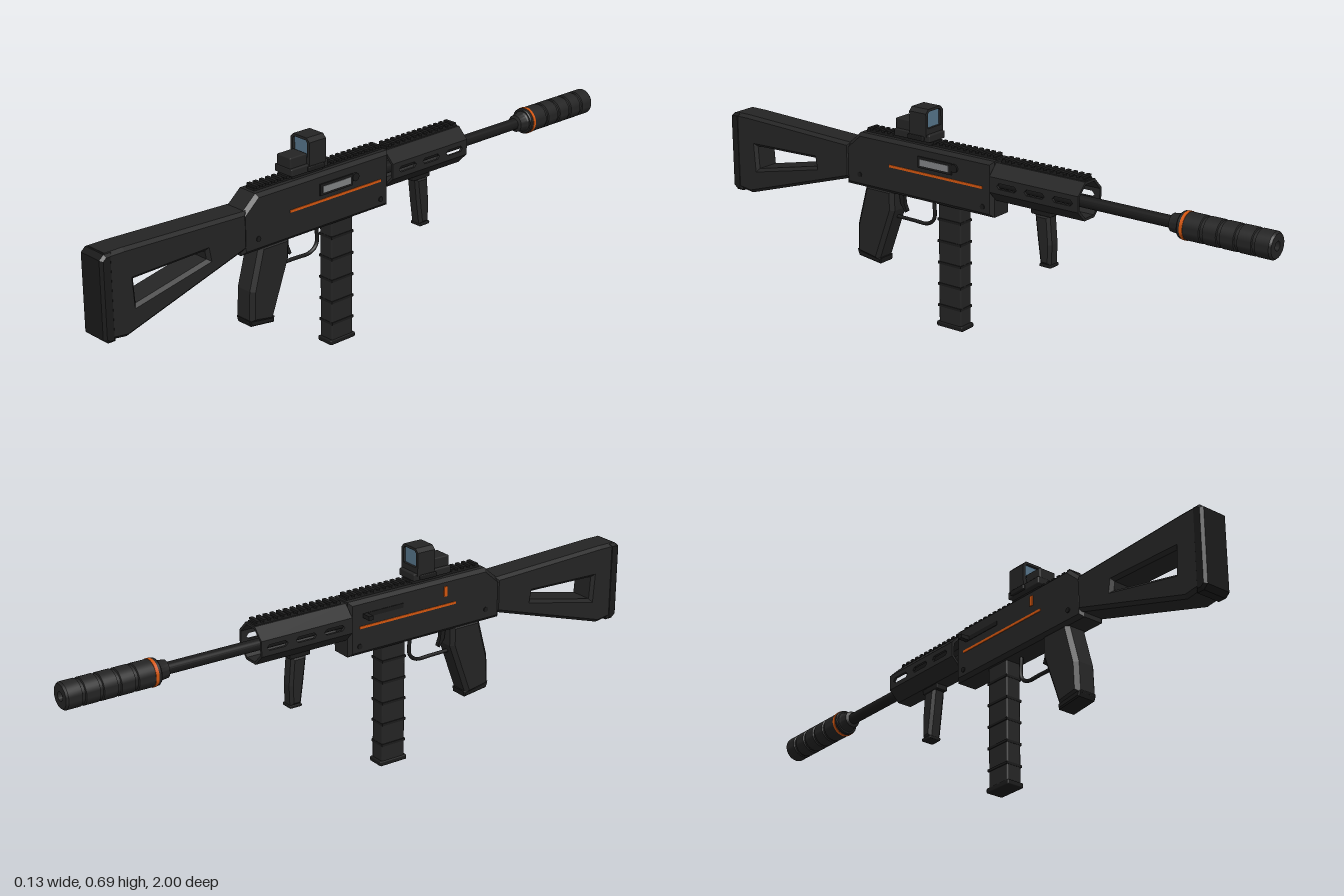
import * as THREE from 'three';
import { toCreasedNormals } from 'three/addons/utils/BufferGeometryUtils.js';
import { RoundedBoxGeometry } from 'three/addons/geometries/RoundedBoxGeometry.js';

export function createModel() {
  const model = new THREE.Group();
  model.name = 'rifle';
  const body = new THREE.Group();
  body.name = 'rifleBody';
  body.position.x = 0.007;
  model.add(body);

  const material = (name, color) => {
    const m = new THREE.MeshStandardMaterial({ color });
    m.name = name;
    return m;
  };
  const black = material('matte black', 0x242424);
  const dark = material('dark rubber', 0x1a1a1a);
  const steel = material('bolt steel', 0x808284);
  const orange = material('orange accent', 0xd4560f);
  const glass = material('blue lens', 0x56748a);

  const add = (name, geometry, mat, x = 0, y = 0, z = 0) => {
    const mesh = new THREE.Mesh(geometry, mat);
    mesh.name = name;
    mesh.position.set(x, y, z);
    body.add(mesh);
    return mesh;
  };
  const box = (name, mat, w, h, d, x, y, z, r = 0) =>
    add(name, r ? new RoundedBoxGeometry(w, h, d, 1, r) : new THREE.BoxGeometry(w, h, d), mat, x, y, z);

  const path = (points, Type = THREE.Shape) => new Type(points.map(([a, b]) => new THREE.Vector2(a, b)));

  // Side profile given as [z, y], extruded across x with bevelled edges
  const slab = (points, width, bevel, holes = []) => {
    const shape = path(points);
    shape.holes = holes.map((h) => path(h, THREE.Path));
    const g = new THREE.ExtrudeGeometry(shape, {
      depth: width - 2 * bevel, bevelEnabled: bevel > 0, bevelThickness: bevel,
      bevelSize: bevel, bevelOffset: -bevel, bevelSegments: 1,
    });
    g.translate(0, 0, bevel - width / 2);
    return g.rotateY(-Math.PI / 2);
  };
  // Turned part along -z, profile given as [radius, distance forward]
  const turned = (points, sides = 32) => {
    const g = new THREE.LatheGeometry(points.map(([r, d]) => new THREE.Vector2(r, d)), sides);
    return toCreasedNormals(g.rotateX(-Math.PI / 2), 0.5);
  };

  // Stock with a cut-out and a butt pad
  add('stock', slab(
    [[0.98, 0.295], [0.98, 0.55], [0.92, 0.55], [0.49, 0.535], [0.49, 0.42], [0.92, 0.287]], 0.094, 0.01,
    [[[0.885, 0.375], [0.89, 0.45], [0.64, 0.457], [0.635, 0.43]]]), black);
  add('buttPad', slab(
    [[1, 0.3], [1, 0.535], [0.985, 0.548], [0.96, 0.548], [0.96, 0.287], [0.985, 0.287]], 0.097, 0.008), dark);

  // Receiver
  add('receiver', slab(
    [[0.507, 0.4], [0.507, 0.525], [0.45, 0.575], [-0.067, 0.575], [-0.067, 0.4]], 0.088, 0.011), black);
  for (const side of [-1, 1]) {
    box('accentStripe', orange, 0.003, 0.008, 0.36, side * 0.0445, 0.49, 0.15);
    for (const [z, y] of [[0.45, 0.44], [-0.03, 0.43]]) {
      const pin = add('receiverPin', new THREE.CylinderGeometry(0.008, 0.008, 0.006, 16), dark, side * 0.044, y, z);
      pin.rotation.z = Math.PI / 2;
    }
  }
  box('ejectionFrame', dark, 0.008, 0.036, 0.13, 0.044, 0.525, 0.15);
  box('ejectionPort', steel, 0.004, 0.02, 0.11, 0.0475, 0.525, 0.15);
  const assist = add('boltAssist', new THREE.CylinderGeometry(0.013, 0.013, 0.012, 20), dark, 0.044, 0.53, 0.075);
  assist.rotation.z = Math.PI / 2;
  box('selectorMark', orange, 0.005, 0.032, 0.012, -0.0445, 0.535, 0.29);
  box('chargingSlot', dark, 0.004, 0.014, 0.14, -0.044, 0.526, 0.06);
  box('chargingHandle', dark, 0.032, 0.013, 0.016, -0.059, 0.526, -0.01);

  // Toothed rails
  const rail = (name, from, to, y) => {
    box(name, dark, 0.036, 0.01, from - to, 0, y, (from + to) / 2);
    const count = Math.floor((from - to) / 0.022);
    for (let i = 0; i < count; i++) {
      box(name + 'Tooth', dark, 0.042, 0.008, 0.012, 0, y + 0.008, from - (i + 0.5) * (from - to) / count);
    }
  };
  rail('receiverRail', 0.44, -0.06, 0.577);
  rail('handguardRail', -0.08, -0.38, 0.571);

  // Hollow octagonal handguard, slotted at the sides
  const apothem = 0.059;
  const half = apothem * Math.tan(Math.PI / 8);
  const slots = [-0.33, -0.23, -0.13].map((z) => [
    [z - 0.036, 0], [z - 0.028, 0.009], [z + 0.028, 0.009], [z + 0.036, 0], [z + 0.028, -0.009], [z - 0.028, -0.009]]);
  for (let k = 0; k < 8; k++) {
    const g = slab([[-0.067, -half], [-0.067, half], [-0.385, half], [-0.385, -half]], 0.008, 0, k % 4 === 0 ? slots : []);
    g.translate(apothem - 0.004, 0, 0);
    add('handguardPanel', g, black, 0, 0.511, 0).rotation.z = k * Math.PI / 4;
  }

  // Barrel and suppressor
  add('barrel', turned([[0, 0], [0.018, 0], [0.018, 0.62], [0, 0.62]], 24), dark, 0, 0.502, -0.06);
  add('barrelCollar', turned([[0.018, 0], [0.027, 0.004], [0.03, 0.03], [0.04, 0.045]]), black, 0, 0.502, -0.665);
  const profile = [[0.018, 0], [0.038, 0], [0.041, 0.004]];
  for (let i = 1; i < 5; i++) {
    const d = 0.025 + i * 0.055;
    profile.push([0.041, d - 0.006], [0.037, d - 0.004], [0.037, d + 0.004], [0.041, d + 0.006]);
  }
  profile.push([0.041, 0.294], [0.036, 0.3], [0.014, 0.3], [0.014, 0.26], [0, 0.26]);
  add('suppressor', turned(profile), black, 0, 0.502, -0.7);
  add('suppressorRing', turned([[0.038, 0], [0.0425, 0], [0.0425, 0.01], [0.038, 0.01]]), orange, 0, 0.502, -0.712);

  // Magazine with ribs and floor plate
  box('magazine', black, 0.052, 0.41, 0.086, 0, 0.21, 0.11, 0.005);
  for (let i = 1; i <= 5; i++) box('magazineRib', dark, 0.057, 0.008, 0.088, 0, 0.07 * i, 0.11);
  box('magazineBase', dark, 0.059, 0.016, 0.1, 0, 0.008, 0.11, 0.004);

  // Pistol grip
  add('grip', slab(
    [[0.435, 0.41], [0.472, 0.275], [0.476, 0.178], [0.39, 0.163], [0.325, 0.34], [0.325, 0.41]], 0.077, 0.012), black);
  add('gripCap', slab(
    [[0.478, 0.185], [0.472, 0.165], [0.385, 0.154], [0.382, 0.172]], 0.064, 0.004), dark);

  // Trigger and its guard
  const guardPoints = [[0.4, 0.19], [0.335, 0.19], [0.315, 0.215], [0.314, 0.27], [0.315, 0.35]]
    .map(([y, z]) => new THREE.Vector3(0, y, z));
  add('triggerGuard', new THREE.TubeGeometry(
    new THREE.CatmullRomCurve3(guardPoints, false, 'centripetal'), 32, 0.006, 8), dark);
  add('trigger', slab(
    [[0.325, 0.405], [0.318, 0.36], [0.3, 0.335], [0.294, 0.34], [0.304, 0.365], [0.305, 0.405]], 0.014, 0), dark);

  // Forward grip
  box('foregripMount', dark, 0.042, 0.018, 0.072, 0, 0.445, -0.227, 0.003);
  add('foregrip', slab(
    [[-0.203, 0.44], [-0.213, 0.36], [-0.224, 0.285], [-0.262, 0.285], [-0.264, 0.35], [-0.256, 0.44]], 0.046, 0.009), black);
  box('foregripCap', dark, 0.042, 0.01, 0.042, 0, 0.283, -0.244, 0.003);

  // Reflex sight
  box('sightNeck', dark, 0.042, 0.02, 0.12, 0, 0.585, 0.24);
  box('sightClamp', dark, 0.092, 0.016, 0.06, 0, 0.599, 0.225, 0.003);
  box('sightBase', black, 0.076, 0.024, 0.14, 0, 0.6, 0.245, 0.004);
  box('sightEmitter', black, 0.06, 0.036, 0.065, 0, 0.626, 0.281, 0.004);
  const hood = path([[-0.041, 0.605], [0.041, 0.605], [0.041, 0.678], [0.029, 0.69], [-0.029, 0.69], [-0.041, 0.678]]);
  hood.holes.push(path([[-0.031, 0.63], [-0.031, 0.676], [-0.025, 0.682], [0.025, 0.682], [0.031, 0.676], [0.031, 0.63]], THREE.Path));
  add('sightHood', new THREE.ExtrudeGeometry(hood, { depth: 0.064, bevelEnabled: false }), black, 0, 0, 0.186);
  for (const z of [0.196, 0.24]) box('sightLens', glass, 0.062, 0.052, 0.004, 0, 0.656, z);

  return model;
}
